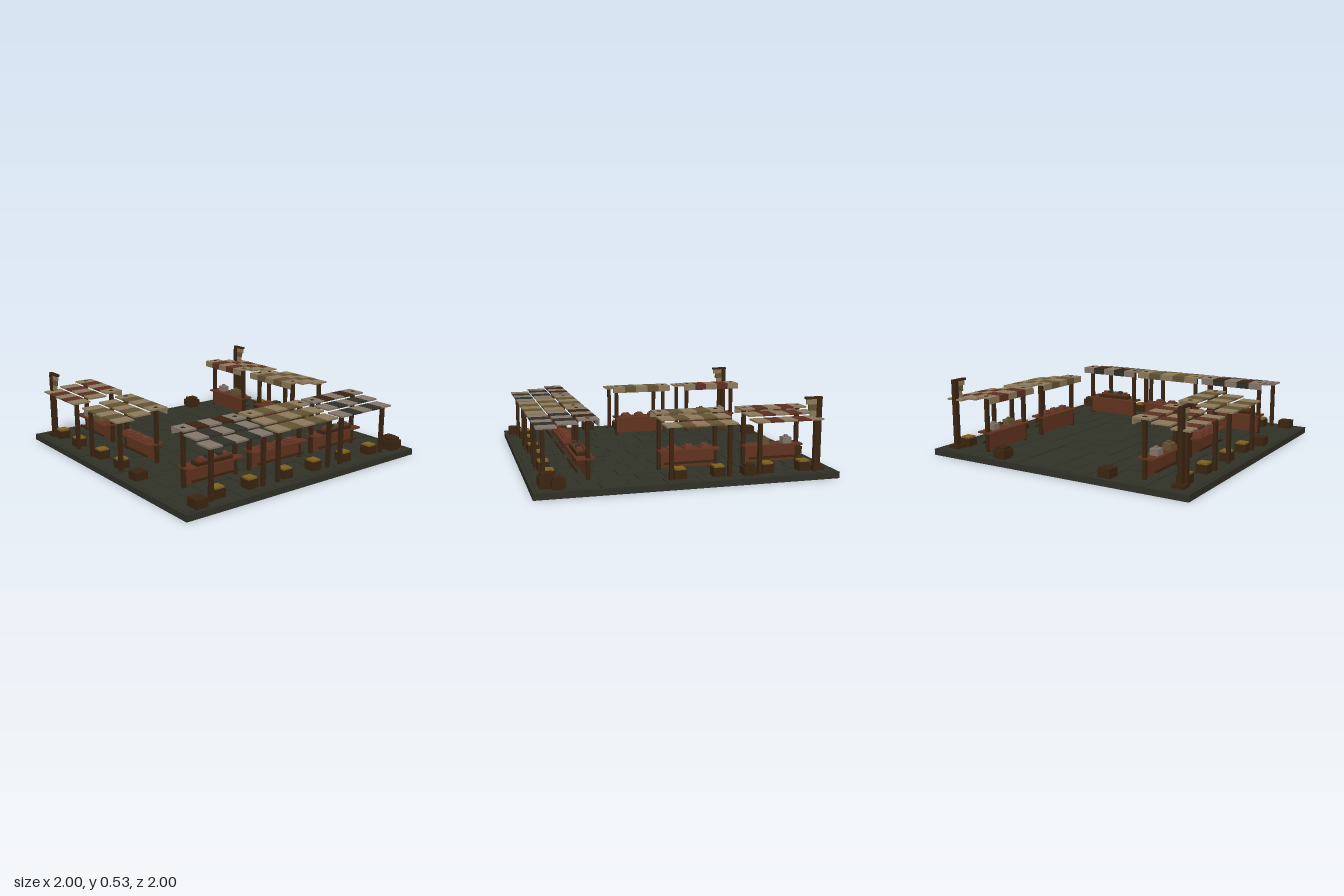
import * as THREE from 'three';

const mat = (name, color) => {
  const m = new THREE.MeshStandardMaterial({ color });
  m.name = name;
  return m;
};

export function createModel() {
  const stone = mat('stone', 0x303127), wood = mat('wood', 0x3b2512), redwood = mat('redwood', 0x62331f);
  const cream = mat('creamCloth', 0x8d7b5c), ochre = mat('ochreCloth', 0x655434), red = mat('redCloth', 0x5f3023);
  const pale = mat('paleCloth', 0x84766b), dark = mat('darkCloth', 0x2f3028), yellow = mat('straw', 0x80621c);
  const clay = mat('clay', 0x6e3b2a);

  const model = new THREE.Group();
  model.name = 'market';

  // Box given by its size, centre x and z, and bottom y
  const box = (parent, name, m, w, h, d, x, y, z) => {
    const mesh = new THREE.Mesh(new THREE.BoxGeometry(w, h, d), m);
    mesh.name = name;
    mesh.position.set(x, y + h / 2, z);
    parent.add(mesh);
    return mesh;
  };
  const group = (parent, name, x = 0, z = 0, turn = 0) => {
    const g = new THREE.Group();
    g.name = name;
    g.position.set(x, 0, z);
    g.rotation.y = turn;
    parent.add(g);
    return g;
  };

  // Paved ground with staggered, slightly uneven flagstones
  const ground = group(model, 'ground');
  box(ground, 'slab', stone, 2, 0.037, 2, 0, 0, 0);
  for (const s of [-1, 1]) {
    box(ground, 'kerb', stone, 2, 0.006, 0.02, 0, 0.037, s * 0.99);
    box(ground, 'kerb', stone, 0.02, 0.006, 1.96, s * 0.99, 0.037, 0);
  }
  let seed = 7;
  const rand = () => (seed = (seed * 16807) % 2147483647) / 2147483647;
  const rows = 14, pitch = 1.955 / rows;
  for (let r = 0; r < rows; r++) {
    let x = -0.977;
    while (x < 0.97) {
      const len = Math.min(0.13 + rand() * 0.13, 0.977 - x);
      box(ground, 'flagstone', stone, len - 0.004, 0.003 + rand() * 0.004, pitch - 0.004,
        x + len / 2, 0.037, -0.977 + (r + 0.5) * pitch);
      x += len;
    }
  }
  const floor = 0.04;

  // Goods laid out on the counters
  const goods = {
    pots(g, z, flip) {
      [[-0.105, pale], [0.06, ochre]].forEach(([x, m]) => {
        box(g, 'pot', m, 0.062, 0.042, 0.06, x * flip, 0.181, z);
        box(g, 'potLid', m, 0.022, 0.014, 0.022, x * flip, 0.223, z);
      });
    },
    loaves(g, z) {
      for (const x of [-0.11, 0, 0.11]) {
        box(g, 'loaf', clay, 0.068, 0.016, 0.06, x, 0.181, z);
        box(g, 'loafTop', clay, 0.046, 0.012, 0.042, x, 0.197, z);
      }
    },
    trays(g, z) {
      box(g, 'tray', wood, 0.28, 0.022, 0.07, 0, 0.181, z);
      box(g, 'trayUpper', redwood, 0.25, 0.014, 0.05, 0, 0.203, z - 0.01);
      [clay, dark, ochre, dark, clay].forEach((m, i) =>
        box(g, 'produce', m, 0.03, i % 2 ? 0.02 : 0.014, 0.03, (i - 2) * 0.047, 0.217, z - 0.01));
    },
  };

  // Stall: the counter side faces local +z, the roof steps down to the rear
  function stall(name, x, z, turn, w, clothA, clothB, kind, flip = 1) {
    const g = group(model, name, x, z, turn);
    const front = 0.198, px = w / 2 - 0.04;
    for (const s of [-1, 1]) {
      box(g, 'frontPost', wood, 0.025, 0.396, 0.025, s * px, floor, front - 0.068);
      box(g, 'backPost', wood, 0.025, 0.346, 0.025, s * px, floor, front - 0.352);
    }
    // Counter
    box(g, 'counterPanel', redwood, px * 2, 0.115, 0.026, 0, 0.055, front - 0.066);
    box(g, 'counterTop', redwood, px * 2 + 0.03, 0.012, 0.12, 0, 0.169, front - 0.085);
    box(g, 'shelfRail', wood, px * 2 - 0.04, 0.014, 0.012, 0, 0.088, front - 0.134);
    goods[kind](g, front - 0.095, flip);
    // Stepped striped awning with a hanging front edge
    const sw = w / 5, depth = 0.395 / 3;
    for (let i = 0; i < 5; i++) {
      const cloth = i % 2 ? clothB : clothA, sx = (i - 2) * sw;
      for (let k = 0; k < 3; k++) {
        const m = cloth === dark && k === 0 ? wood : cloth;
        box(g, 'awning', m, sw, 0.011, depth, sx, 0.423 - k * 0.02, front - (k + 0.5) * depth);
      }
      box(g, 'valance', cloth, sw, 0.036, 0.01, sx, 0.388, front - 0.005);
    }
    // Supply crates behind the counter
    for (const s of [-1, 1]) {
      box(g, 'supplyCrate', wood, 0.08, 0.06, 0.08, s * 0.13, floor, front - 0.31);
      box(g, 'supplies', yellow, 0.068, 0.012, 0.068, s * 0.13, floor + 0.06, front - 0.31);
    }
  }

  for (const s of [-1, 1]) {
    const turn = s < 0 ? 0 : Math.PI;
    stall('redStall', -0.665, s * 0.757, turn, 0.47, cream, red, 'pots', -s);
    stall('ochreStall', -0.07, s * 0.757, turn, 0.47, cream, ochre, 'loaves');
    stall('paleStall', 0.753, s * 0.55, -Math.PI / 2, 0.49, pale, dark, 'trays');

    // Banner post
    const g = group(model, 'bannerPost', -0.888, s * 0.888);
    box(g, 'base', wood, 0.08, 0.025, 0.08, 0, floor, 0);
    box(g, 'post', wood, 0.034, 0.475, 0.034, 0, floor, 0);
    box(g, 'arm', wood, 0.12, 0.015, 0.026, 0.038, 0.515, 0);
    box(g, 'banner', cream, 0.073, 0.035, 0.014, 0.053, 0.48, 0);
    box(g, 'bannerMiddle', ochre, 0.056, 0.04, 0.014, 0.045, 0.44, 0);
    box(g, 'bannerTail', cream, 0.045, 0.04, 0.014, 0.039, 0.4, 0);
  }
  stall('middleStall', 0.753, -0.004, -Math.PI / 2, 0.53, cream, ochre, 'loaves');

  // Loose casks with a wide belly and plain crates
  [[-0.39, -0.92, 0.086, 0.08], [0.84, -0.93, 0.086, 0.08], [0.905, -0.875, 0.1, 0.095], [-0.935, -0.43, 0.096, 0.085]]
    .forEach(([x, z, w, h]) => {
      const g = group(model, 'cask', x, z);
      box(g, 'caskBody', wood, w - 0.022, h, w - 0.022, 0, floor, 0);
      box(g, 'caskBelly', wood, w, h * 0.6, w, 0, floor + h * 0.18, 0);
    });
  [[-0.92, 0.395], [0.315, 0.895], [0.925, 0.865]].forEach(([x, z]) => {
    box(model, 'crate', wood, 0.09, 0.06, 0.09, x, floor, z);
  });

  return model;
}
